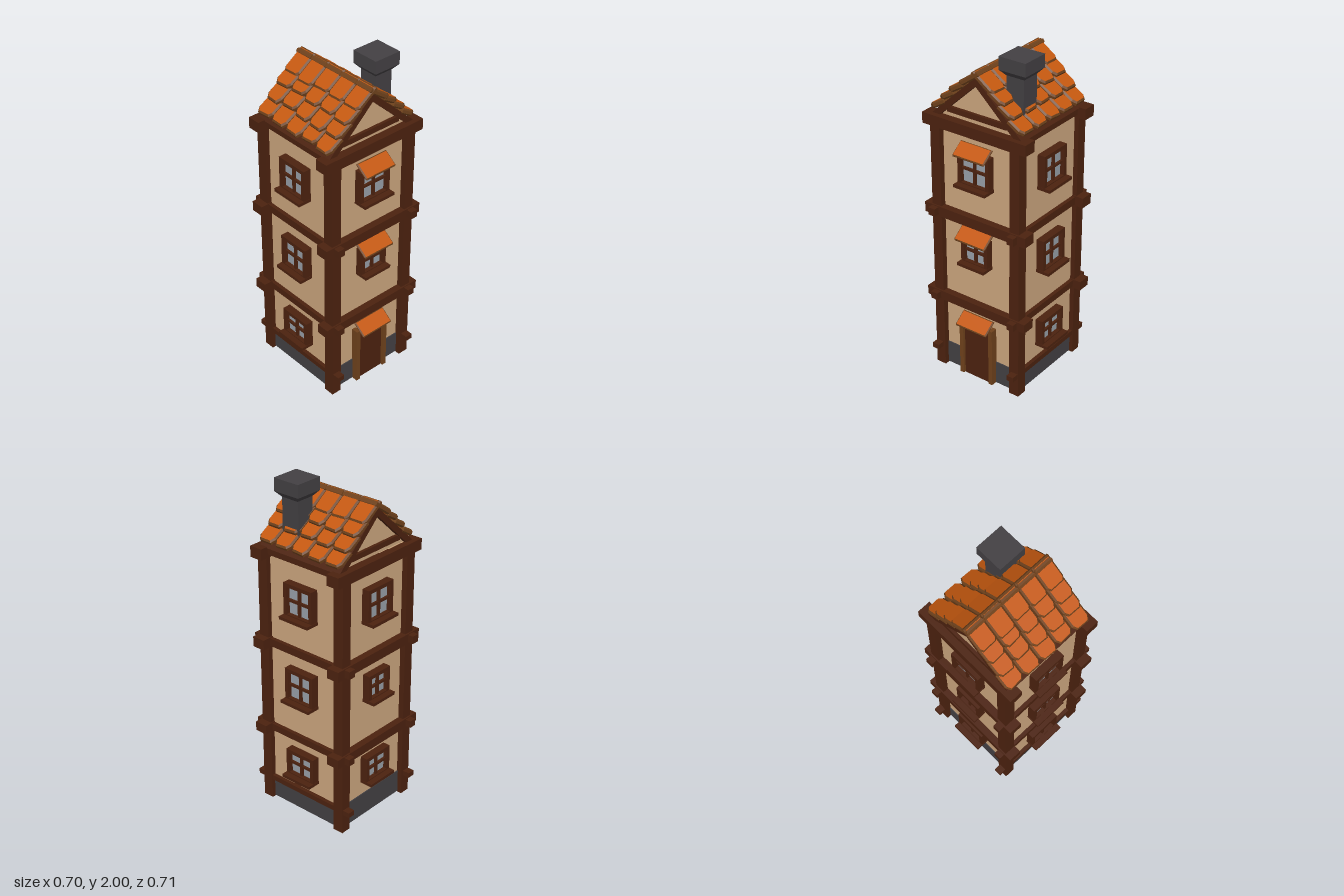
import * as THREE from 'three';

const mat = (name, color, side = THREE.FrontSide) => {
  const m = new THREE.MeshStandardMaterial({ color, side });
  m.name = name;
  return m;
};

export function createModel() {
  const plaster = mat('plaster', 0xcca67e);
  const timber = mat('dark timber', 0x4c220f);
  const lightWood = mat('light wood', 0x70421c);
  const clay = mat('orange clay', 0xc4580f);
  const stone = mat('grey stone', 0x434043);
  const glass = mat('window glass', 0x98a0a8);

  const model = new THREE.Group();
  model.name = 'towerHouse';
  const house = new THREE.Group();
  house.name = 'house';
  house.position.z = -0.005;
  model.add(house);

  let seed = 7;
  const jitter = (a) => {
    seed = (seed * 16807) % 2147483647;
    return (seed / 2147483647 - 0.5) * 2 * a;
  };

  const add = (parent, name, geo, material) => {
    const m = new THREE.Mesh(geo, material);
    m.name = name;
    parent.add(m);
    return m;
  };
  // Box given by its min and max on each axis
  const box = (parent, name, material, x0, x1, y0, y1, z0, z1) => {
    const m = add(parent, name, new THREE.BoxGeometry(x1 - x0, y1 - y0, z1 - z0), material);
    m.position.set((x0 + x1) / 2, (y0 + y1) / 2, (z0 + z1) / 2);
    return m;
  };
  const polygon = (pts) => new THREE.Shape(pts.map((p) => new THREE.Vector2(p[0], p[1])));
  const extrude = (shape, z0, z1) =>
    new THREE.ExtrudeGeometry(shape, { depth: z1 - z0, bevelEnabled: false }).translate(0, 0, z0);

  // Bevelled clay slab running down +x, its lower top edge at (x, y, z), turned about y by angle
  const tile = (parent, name, o) => {
    const { x, y, z = 0, length, width, tilt, cut = 0.015, angle = 0, thick = 0.034, bevel = 0.009 } = o;
    const h = width / 2;
    const shape = polygon([
      [-length, -h], [-cut * 1.6, -h], [0, -h + cut], [jitter(cut * 0.3), h - cut], [-cut * 1.6, h], [-length, h],
    ]);
    const geo = new THREE.ExtrudeGeometry(shape, {
      depth: thick - 2 * bevel, bevelEnabled: true, bevelSegments: 1,
      bevelThickness: bevel, bevelSize: bevel, bevelOffset: -bevel,
    });
    geo.translate(0, 0, bevel - thick).rotateX(-Math.PI / 2).rotateZ(-tilt).translate(x, y, z);
    const m = add(parent, name, geo, [clay, lightWood]);
    m.rotation.y = angle;
    return m;
  };

  // Walls and stone footing
  box(house, 'walls', plaster, -0.268, 0.268, 0.004, 1.61, -0.27, 0.27);
  box(house, 'footing', stone, -0.274, 0.274, 0.006, 0.148, -0.276, 0.276);

  // Corner posts
  for (const sx of [-1, 1]) for (const sz of [-1, 1]) {
    const post = box(house, 'cornerPost', timber, -0.0315, 0.0315, 0, 1.6, -0.0325, 0.0325);
    post.position.x = sx * 0.2645;
    post.position.z = sz * 0.2715;
  }

  // Floor beams: wide ones front and back, thinner ones along the sides
  for (const s of [-1, 1]) {
    for (const [y0, y1] of [[0.457, 0.513], [1.002, 1.063], [1.545, 1.61]])
      box(house, 'crossBeam', timber, -0.342, 0.342, y0, y1, -0.04, 0.04).position.z = s * 0.273;
    for (const [y0, y1, l] of [[0.122, 0.153, 0.348], [0.466, 0.508, 0.348], [1.012, 1.058, 0.348], [1.565, 1.607, 0.3]])
      box(house, 'sideBeam', timber, -0.0225, 0.0225, y0, y1, -l, l).position.x = s * 0.2685;
  }

  // Window facing +z, turned to its wall by angle
  const windowAt = (angle, half, y0, y1, awning = false) => {
    const g = new THREE.Group();
    g.name = 'window';
    g.rotation.y = angle;
    house.add(g);
    const b = 0.022, mid = (y0 + y1) / 2;
    const frame = polygon([[-half, y0], [half, y0], [half, y1], [-half, y1]]);
    const i = half - b;
    frame.holes.push(polygon([[-i, y0 + b], [-i, y1 - b], [i, y1 - b], [i, y0 + b]]));
    add(g, 'windowFrame', extrude(frame, 0.26, 0.316), timber);
    box(g, 'pane', glass, -i, i, y0 + b, y1 - b, 0.283, 0.29);
    box(g, 'verticalBar', timber, -0.007, 0.007, y0 + b, y1 - b, 0.285, 0.305);
    box(g, 'horizontalBar', timber, -i, i, mid - 0.007, mid + 0.007, 0.285, 0.304);
    box(g, 'sill', timber, -half - 0.002, half + 0.002, y0 - 0.002, y0 + 0.016, 0.26, 0.352);
    if (awning) awningAt(y1 - 0.012, 0.21);
  };
  const awningAt = (y, width) => tile(house, 'awning', {
    x: 0.363, y, length: 0.1, width, tilt: 0.64, cut: 0.004, angle: -Math.PI / 2, thick: 0.018, bevel: 0.006,
  });

  windowAt(0, 0.104, 1.247, 1.455, true);
  windowAt(0, 0.09, 0.762, 0.94, true);
  windowAt(Math.PI, 0.102, 1.247, 1.452);
  windowAt(Math.PI, 0.088, 0.762, 0.93);
  windowAt(Math.PI, 0.1, 0.235, 0.405);
  for (const a of [Math.PI / 2, -Math.PI / 2])
    for (const [y0, y1] of [[1.247, 1.452], [0.727, 0.933], [0.235, 0.408]]) windowAt(a, 0.101, y0, y1);

  // Door with jambs and awning
  box(house, 'door', timber, -0.09, 0.09, 0, 0.36, 0.25, 0.295);
  for (const s of [-1, 1])
    box(house, 'doorJamb', lightWood, -0.013, 0.013, 0.004, 0.372, 0.25, 0.312).position.x = s * 0.103;
  awningAt(0.365, 0.215);

  // Gable walls, rafters and collar beams
  add(house, 'gableWall', extrude(polygon([[-0.27, 1.6], [0.27, 1.6], [0, 1.85]]), -0.262, 0.262), plaster);
  const deck = polygon([[-0.3, 1.605], [0.3, 1.605], [0, 1.884]]);
  deck.holes.push(polygon([[-0.247, 1.606], [0, 1.836], [0.247, 1.606]]));
  add(house, 'rafters', extrude(deck, -0.284, 0.284), timber);
  for (const s of [-1, 1])
    box(house, 'collarBeam', timber, -0.195, 0.195, 1.64, 1.672, -0.012, 0.012).position.z = s * 0.268;

  // Roof tiles: four rows each side, five columns
  const rows = [
    [0.125, 1.83, 0.164, 0.61], [0.186, 1.782, 0.11, 0.54], [0.25, 1.72, 0.11, 0.54], [0.313, 1.655, 0.11, 0.54],
  ];
  for (const angle of [0, Math.PI])
    for (let c = -2; c <= 2; c++)
      rows.forEach(([x, y, length, tilt], r) => {
        const dx = r === 3 ? jitter(0.003) : jitter(0.008);
        tile(house, r ? 'roofTile' : 'ridgeTile', {
          x: x + dx, y: y - dx * 0.7, z: c * 0.117,
          length: length + dx, width: 0.113 + jitter(0.003), tilt, cut: r ? 0.018 : 0.014, angle,
        });
      });

  // Chimney: square shaft, flared neck and cap
  const chimney = new THREE.Group();
  chimney.name = 'chimney';
  chimney.position.set(0.175, 0, 0.12);
  house.add(chimney);
  box(chimney, 'chimneyShaft', stone, -0.055, 0.055, 1.64, 1.9, -0.057, 0.057);
  const neck = new THREE.CylinderGeometry(0.085 * Math.SQRT2, 0.056 * Math.SQRT2, 0.033, 4, 1, true).toNonIndexed();
  neck.rotateY(Math.PI / 4).computeVertexNormals();
  add(chimney, 'chimneyNeck', neck, stone).position.y = 1.9085;
  box(chimney, 'chimneyCap', stone, -0.085, 0.085, 1.925, 2, -0.085, 0.085);

  return model;
}
